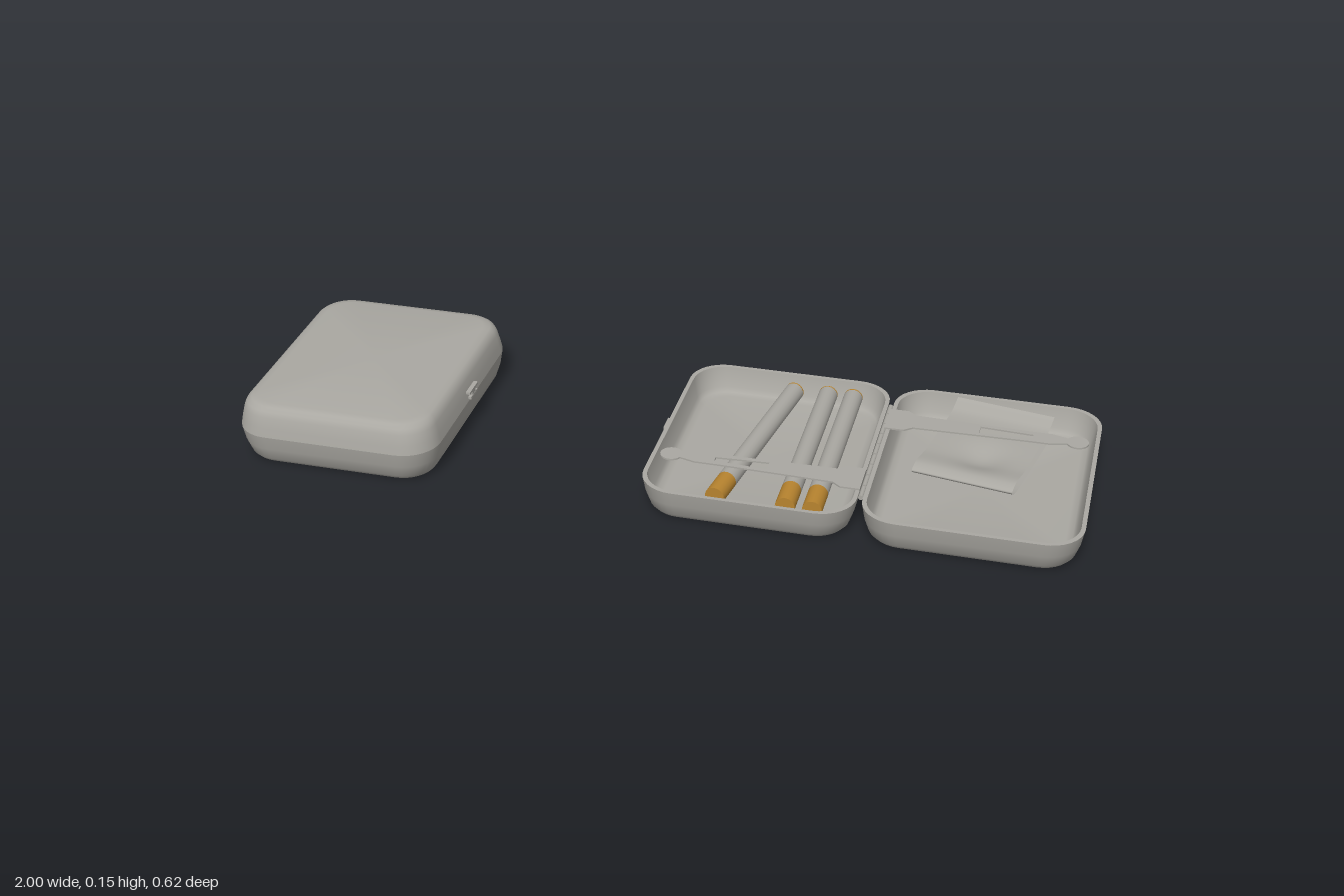
import * as THREE from 'three';
import { toCreasedNormals } from 'three/addons/utils/BufferGeometryUtils.js';

const grey = new THREE.MeshStandardMaterial({ color: 0xaaa8a2, side: THREE.DoubleSide });
grey.name = 'satin grey';
const amber = new THREE.MeshStandardMaterial({ color: 0xb8842f });
amber.name = 'amber filter';

function add(parent, name, geometry, material, x = 0, y = 0, z = 0) {
  const mesh = new THREE.Mesh(geometry, material);
  mesh.name = name;
  mesh.position.set(x, y, z);
  parent.add(mesh);
  return mesh;
}

// Rounded-rectangle loop, running counter-clockwise seen from above
function ring(halfX, halfZ, radius, y, steps = 8) {
  const pts = [];
  for (let c = 0; c < 4; c++) {
    const sx = c === 0 || c === 3 ? 1 : -1, sz = c < 2 ? -1 : 1;
    for (let i = 0; i <= steps; i++) {
      const a = (c + i / steps) * Math.PI / 2;
      pts.push([sx * (halfX - radius) + radius * Math.cos(a), y, sz * (halfZ - radius) - radius * Math.sin(a)]);
    }
  }
  return pts;
}

// Hollow tray: rings of [inset, y] run up the outside, over the rim and down inside
function trayGeometry(profile) {
  const rings = profile.map(([inset, y]) => ring(0.248 - inset, 0.308 - inset, 0.085 - inset * 0.6, y));
  const n = rings[0].length;
  const centre = (y) => Array.from({ length: n }, () => [0, y, 0]);
  rings.unshift(centre(profile[0][1]));
  rings.push(centre(profile[profile.length - 1][1]));
  const pos = [];
  for (let j = 0; j < rings.length - 1; j++) {
    for (let i = 0; i < n; i++) {
      const k = (i + 1) % n;
      const a = rings[j][i], b = rings[j][k], c = rings[j + 1][k], d = rings[j + 1][i];
      if (j > 0) pos.push(...a, ...b, ...c);
      if (j < rings.length - 2) pos.push(...a, ...c, ...d);
      else pos.push(...a, ...b, ...c);
    }
    if (j === 0) continue;
  }
  const g = new THREE.BufferGeometry();
  g.setAttribute('position', new THREE.Float32BufferAttribute(pos, 3));
  return toCreasedNormals(g, 0.7);
}

const inside = (rim) => [[0, rim], [0.01, rim], [0.02, 0.03], [0.028, 0.019], [0.042, 0.015]];
const baseProfile = [[0.036, 0], [0.024, 0.004], [0.016, 0.014], [0.006, 0.045], ...inside(0.08)];
const lidProfile = [[0.042, 0], [0.026, 0.003], [0.016, 0.011], [0.01, 0.024], [0.004, 0.05], ...inside(0.072)];

// Small T-shaped latch on a side wall
function latch(parent, x, y, flip) {
  const group = new THREE.Group();
  group.name = 'latch';
  group.position.set(x, y, 0);
  if (flip) group.rotation.z = Math.PI;
  add(group, 'latchTab', new THREE.BoxGeometry(0.012, 0.006, 0.058), grey, 0, 0.008, 0);
  add(group, 'latchStem', new THREE.BoxGeometry(0.01, 0.012, 0.022), grey);
  add(group, 'latchFoot', new THREE.BoxGeometry(0.012, 0.006, 0.046), grey, 0, -0.008, 0);
  parent.add(group);
}

// Row of hinge knuckles along the back edge
function hinge(parent, x, y) {
  const knuckle = new THREE.CylinderGeometry(0.006, 0.006, 0.042, 10).rotateX(Math.PI / 2);
  for (let i = 0; i < 9; i++) add(parent, 'hingeKnuckle', knuckle, grey, x, y, -0.19 + i * 0.0475);
}

// Flat retaining arm: knob at the left, slot, wide foot at the right
function armGeometry() {
  const s = new THREE.Shape();
  s.moveTo(0.476, 0.045);
  s.lineTo(0.43, 0.045);
  s.lineTo(0.41, 0.029);
  s.lineTo(0.14, 0.022);
  s.lineTo(0.085, 0.022);
  s.lineTo(0.05, 0.012);
  s.absarc(0.026, 0, 0.026, 0.5, Math.PI * 2 - 0.5, false);
  s.lineTo(0.085, -0.022);
  s.lineTo(0.14, -0.022);
  s.lineTo(0.41, -0.029);
  s.lineTo(0.43, -0.045);
  s.lineTo(0.476, -0.045);
  s.closePath();
  const slot = new THREE.Path();
  slot.moveTo(0.13, -0.008);
  slot.lineTo(0.255, -0.015);
  slot.lineTo(0.255, 0.015);
  slot.lineTo(0.13, 0.008);
  slot.closePath();
  s.holes.push(slot);
  return new THREE.ExtrudeGeometry(s, { depth: 0.004, bevelEnabled: false, curveSegments: 12 })
    .rotateX(Math.PI / 2).translate(-0.238, 0, 0);
}

// Cigarette lying between two points, with filter and tobacco end
function cigarette(parent, x0, z0, x1, z1) {
  const group = new THREE.Group();
  group.name = 'cigarette';
  const length = Math.hypot(x1 - x0, z1 - z0), filter = 0.075, plug = 0.004;
  const part = (name, from, to, material) => add(group, name,
    new THREE.CylinderGeometry(0.023, 0.023, to - from, 20).rotateX(Math.PI / 2), material, 0, 0, (from + to) / 2);
  part('tobaccoEnd', 0, plug, amber);
  part('paperTube', plug, length - filter, grey);
  part('filter', length - filter, length, amber);
  group.position.set(x0, 0.057, z0);
  group.rotation.y = Math.atan2(x1 - x0, z1 - z0);
  parent.add(group);
}

// Folded paper: lengthwise profile swept across, with a soft dent near the fold
function paperGeometry() {
  const profile = [[0, 0.094], [0.05, 0.087], [0.14, 0.077], [0.4, 0.074], [0.7, 0.073], [0.92, 0.08],
    [1, 0.069], [0.94, 0.055], [0.6, 0.047], [0.1, 0.045]];
  const curve = new THREE.CatmullRomCurve3(profile.map(([l, y]) => new THREE.Vector3(0, y * 4, l)));
  const g = new THREE.PlaneGeometry(1, 1, 16, 60), p = g.attributes.position;
  for (let i = 0; i < p.count; i++) {
    const u = p.getX(i) + 0.5, q = curve.getPoint(0.5 - p.getY(i)), l = q.z;
    const dent = q.y / 4 > 0.062 ? 0.014 * Math.exp(-(((u - 0.55) / 0.22) ** 2) - ((l - 0.65) / 0.16) ** 2) : 0;
    p.setXYZ(i, 0.65 + 0.235 * u - 0.062 * l, q.y / 4 - dent, -0.265 + 0.04 * u + 0.322 * l);
  }
  g.computeVertexNormals();
  return g;
}

export function createModel() {
  const model = new THREE.Group();
  model.name = 'cigaretteCases';
  const base = trayGeometry(baseProfile), lid = trayGeometry(lidProfile);

  // Closed case
  const closed = new THREE.Group();
  closed.name = 'closedCase';
  add(closed, 'closedBase', base, grey, -0.745, 0, 0);
  add(closed, 'closedLid', lid, grey, -0.745, 0.152, 0).rotation.x = Math.PI;
  latch(closed, -0.497, 0.095, false);
  hinge(closed, -0.992, 0.08);

  // Open case
  const open = new THREE.Group();
  open.name = 'openCase';
  add(open, 'leftTray', base, grey, 0.242, 0, 0);
  add(open, 'rightTray', base, grey, 0.75, 0, 0);
  latch(open, -0.005, 0.066, true);
  hinge(open, 0.496, 0.075);

  // Contents
  cigarette(open, 0.25, -0.26, 0.17, 0.26);
  cigarette(open, 0.333, -0.265, 0.333, 0.262);
  cigarette(open, 0.395, -0.265, 0.395, 0.262);
  add(open, 'foldedPaper', paperGeometry(), grey);

  // Retaining arms
  const arm = armGeometry();
  add(open, 'cigaretteArm', arm, grey, 0.252, 0.085, 0.145);
  add(open, 'paperArm', arm, grey, 0.736, 0.084, -0.14).rotation.y = Math.PI;

  model.add(closed, open);
  return model;
}
